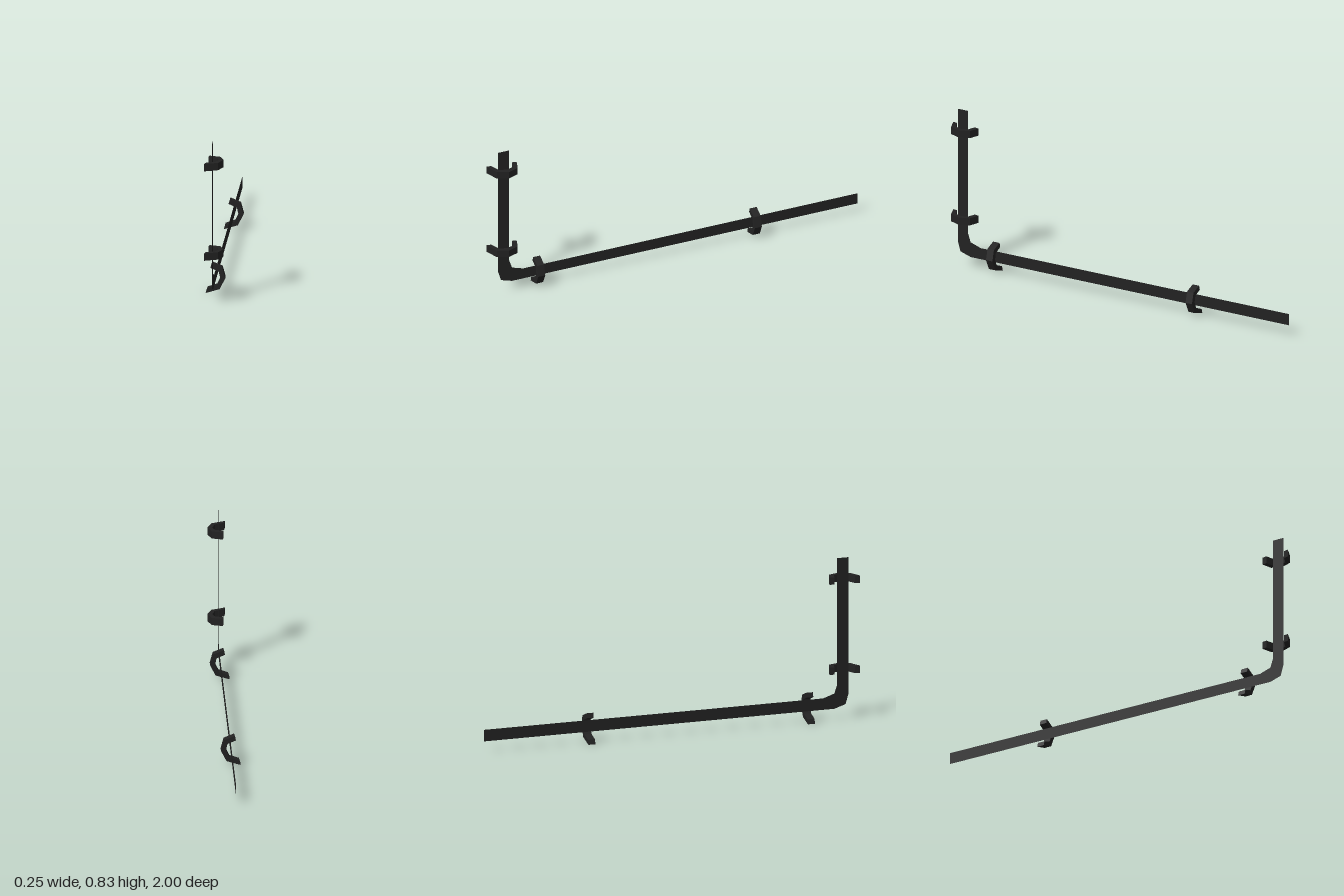
import * as THREE from 'three';

const YAW = 0.1; // the long run veers slightly sideways

export function createModel() {
  const group = new THREE.Group();
  const black = new THREE.MeshStandardMaterial({ color: 0x222222, side: THREE.DoubleSide });
  black.name = 'black';
  const toShape = (pts) => new THREE.Shape(pts.map(([x, y]) => new THREE.Vector2(x, y)));

  // Flat L-shaped strip: x runs backwards from the upright's centre line
  const strip = new THREE.Mesh(new THREE.ShapeGeometry(toShape([
    [-0.031, 0.834], [-0.031, 0.13], [-0.015, 0.075], [0.045, 0.056], [1.925, 0.056],
    [1.925, 0.116], [0.105, 0.115], [0.045, 0.135], [0.03, 0.18], [0.03, 0.834],
  ])), black);
  strip.name = 'cableStrip';
  strip.position.set(0.068, 0, 0.915);
  strip.rotation.y = Math.PI / 2 + YAW;
  group.add(strip);

  // Open angular clip, centred on its own middle
  const clipGeometry = new THREE.ExtrudeGeometry(toShape([
    [-0.017, 0.078], [0.036, 0.056], [0.051, 0], [0.023, -0.056], [-0.048, -0.078],
    [-0.041, -0.054], [0.008, -0.037], [0.026, 0.001], [0.018, 0.036], [-0.024, 0.054],
  ]), { depth: 0.038, bevelEnabled: false }).translate(0, 0, -0.019);

  function addClip(name, position, pitch, yaw) {
    const clip = new THREE.Mesh(clipGeometry, black);
    clip.name = name;
    clip.position.set(...position);
    clip.rotation.set(pitch, yaw, 0, 'YXZ');
    group.add(clip);
  }

  // Clips along the long run
  for (const z of [0.73, -0.442]) {
    addClip('runClip', [0.068 + (z - 0.915) * 0.101, 0.079, z], 0, YAW);
  }
  // Clips on the upright
  for (const y of [0.258, 0.724]) {
    addClip('uprightClip', [0.072, y, 0.912], -Math.PI / 2, 0.19);
  }
  return group;
}
